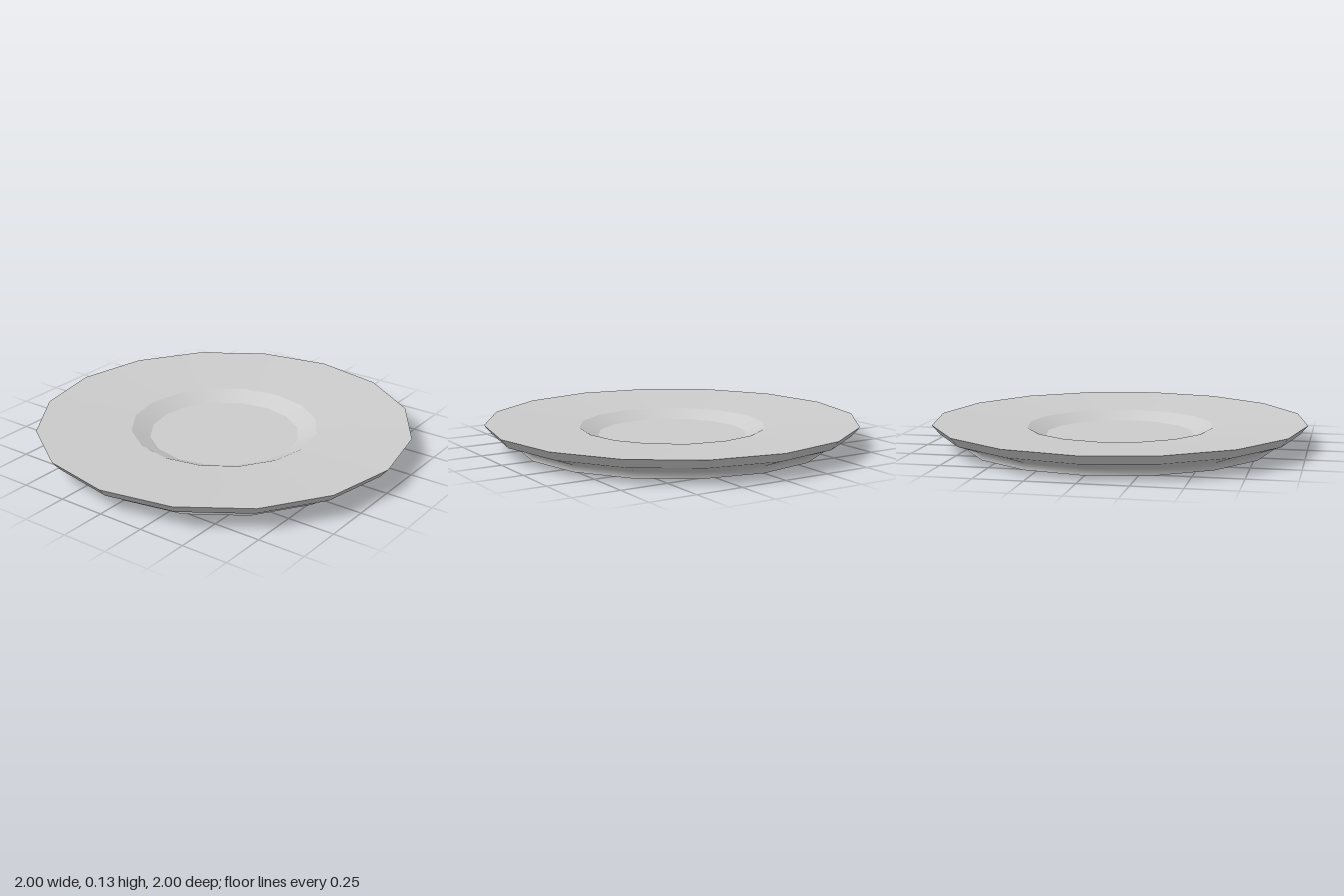
import * as THREE from 'three';

const SIDES = 16;

export function createModel() {
  const model = new THREE.Group();
  model.name = 'saucer';
  const material = new THREE.MeshStandardMaterial({ color: 0xcccccc });

  // Each band is its own lathe, so shading is smooth inside a band and sharp between bands
  const addBand = (name, profile) => {
    const points = profile.map(([r, y]) => new THREE.Vector2(r, y));
    const mesh = new THREE.Mesh(new THREE.LatheGeometry(points, SIDES), material);
    mesh.name = name;
    model.add(mesh);
  };

  // Profile runs from the centre of the base, outwards, up and back in to the well
  addBand('base', [[0, 0], [0.83, 0]]);
  addBand('footAndUnderside', [[0.83, 0], [0.83, 0.035], [0.96, 0.082]]);
  addBand('rimEdge', [[0.96, 0.082], [1, 0.13]]);
  addBand('topSurface', [[1, 0.13], [0.5, 0.1]]);
  addBand('wellWall', [[0.5, 0.1], [0.4, 0.055]]);
  addBand('wellFloor', [[0.4, 0.055], [0, 0.055]]);

  return model;
}
